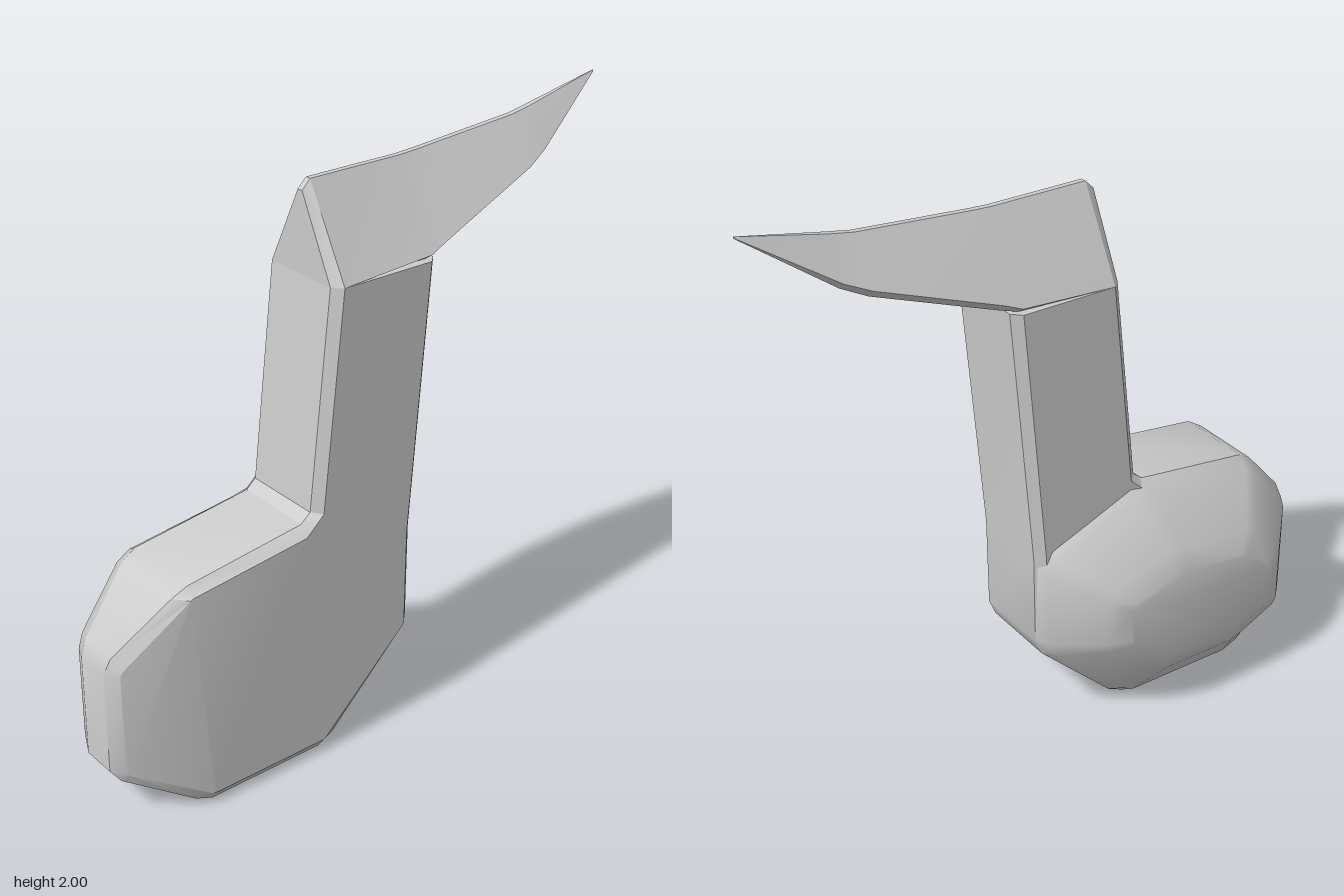
import * as THREE from 'three';
import { toCreasedNormals } from 'three/addons/utils/BufferGeometryUtils.js';

// Skins closed rings of [x, y, z], counter-clockwise from +z and ordered front to back.
// split = [i, j] cuts the end caps along the line between those two corners.
function loft(rings, split) {
  const n = rings[0].length;
  const index = [];
  for (let r = 0; r < rings.length - 1; r++) {
    for (let i = 0; i < n; i++) {
      const a = r * n + i, b = r * n + (i + 1) % n;
      index.push(a, a + n, b + n, a, b + n, b);
    }
  }
  const all = [...Array(n).keys()];
  const parts = split
    ? [all.slice(split[0], split[1] + 1), [...all.slice(0, split[0] + 1), ...all.slice(split[1])]]
    : [all];
  [0, rings.length - 1].forEach((r) => {
    for (const part of parts) {
      const flat = part.map((i) => new THREE.Vector2(rings[r][i][0], rings[r][i][1]));
      for (const [a, b, c] of THREE.ShapeUtils.triangulateShape(flat, [])) {
        const [p, q, s] = [part[a], part[b], part[c]].map((k) => r * n + k);
        index.push(...(r === 0 ? [p, q, s] : [p, s, q]));
      }
    }
  });
  const geometry = new THREE.BufferGeometry();
  geometry.setAttribute('position', new THREE.Float32BufferAttribute(rings.flat(2), 3));
  geometry.setIndex(index);
  return geometry;
}

// Places an outline at depth z; the left end of the body thins out.
function ringAt(outline, z) {
  return outline.map(([x, y]) => {
    const d = Math.max(0, -0.77 - x);
    return [x, y, z + d * (z > 0.1 ? -0.5 : 0.25)];
  });
}

export function createModel() {
  const group = new THREE.Group();
  const material = new THREE.MeshStandardMaterial({ color: 0xcccccc });
  const add = (name, geometry, crease) => {
    const mesh = new THREE.Mesh(toCreasedNormals(geometry, crease), material);
    mesh.name = name;
    group.add(mesh);
  };

  // Body front and stem: one slab with chamfered edges
  const outer = [
    [-0.205, 1.6], [-0.285, 0.885], [-0.32, 0.855], [-0.74, 0.8], [-0.79, 0.77], [-0.96, 0.585],
    [-0.98, 0.53], [-0.98, 0.18], [-0.95, 0.14], [-0.74, 0.025], [-0.68, 0], [-0.26, 0.005],
    [-0.2, 0.035], [0.08, 0.31], [0.105, 0.37], [0.11, 0.7], [0.19, 1.6],
  ];
  const inner = [
    [-0.175, 1.6], [-0.255, 0.88], [-0.32, 0.82], [-0.74, 0.77], [-0.75, 0.765], [-0.945, 0.55],
    [-0.95, 0.53], [-0.95, 0.19], [-0.94, 0.175], [-0.7, 0.045], [-0.68, 0.04], [-0.26, 0.045],
    [-0.25, 0.05], [0.07, 0.35], [0.075, 0.36], [0.08, 0.7], [0.16, 1.6],
  ];
  add('bodyAndStem', loft([
    ringAt(inner, 0.26), ringAt(outer, 0.23), ringAt(outer, -0.05), ringAt(inner, -0.08),
  ], [4, 9]), 0.5);

  // Rounded bulge behind the body, shrinking towards the back
  const bodyOutline = [
    [0.105, 0.67], [0.07, 0.74], [-0.25, 0.87], [-0.34, 0.852], [-0.74, 0.8], [-0.79, 0.77],
    [-0.96, 0.585], [-0.98, 0.53], [-0.98, 0.18], [-0.95, 0.14], [-0.74, 0.025], [-0.68, 0],
    [-0.26, 0.005], [-0.2, 0.035], [0.08, 0.31], [0.105, 0.37],
  ];
  const shrink = (sx, sy) => bodyOutline.map(([x, y]) => [-0.42 + (x + 0.42) * sx, 0.41 + (y - 0.41) * sy]);
  const steps = [
    [0.05, 0.97, 0.97], [-0.05, 1, 1], [-0.105, 0.95, 0.91], [-0.225, 0.68, 0.55], [-0.26, 0.54, 0.39],
  ];
  add('bodyBulge', loft(steps.map(([z, sx, sy]) => ringAt(shrink(sx, sy), z))), 0.6);

  // Pointed blade on top: x, ridge height, side edge height, bottom height, half width
  const sections = [
    [0.98, 2, 1.996, 1.994, 0.003],
    [0.7, 1.94, 1.815, 1.79, 0.083],
    [0.62, 1.925, 1.78, 1.752, 0.105],
    [0.22, 1.893, 1.645, 1.618, 0.163],
    [0.16, 1.89, 1.62, 1.6, 0.17],
    [-0.175, 1.89, 1.6, 1.6, 0.17],
    [-0.205, 1.86, 1.6, 1.6, 0.14],
  ];
  const blade = loft(sections.map(([x, ridge, side, bottom, w]) => {
    const top = Math.min(0.01, w * 0.3), low = Math.max(w - 0.03, w * 0.6);
    return [[-low, bottom], [low, bottom], [w, side], [top, ridge], [-top, ridge], [-w, side]]
      .map(([u, v]) => [u, v, x]);
  }));
  blade.rotateY(Math.PI / 2).translate(0, 0, 0.09);
  add('blade', blade, 0.4);

  return group;
}
